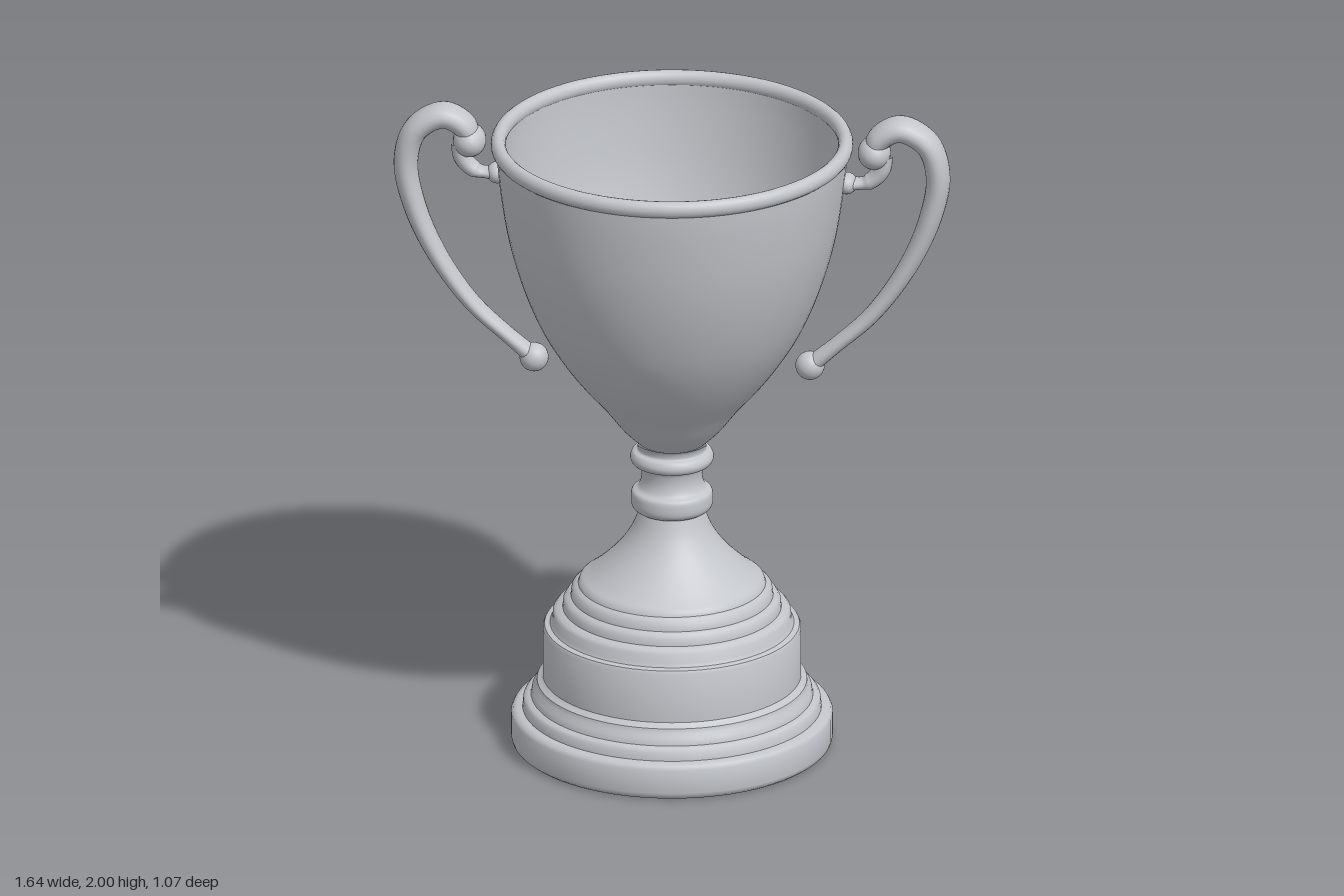
import * as THREE from 'three';
import { toCreasedNormals } from 'three/addons/utils/BufferGeometryUtils.js';

const metal = new THREE.MeshStandardMaterial({ color: 0xc2c5ca });
metal.name = 'silver grey';

const vecs = (pts) => pts.map(([x, y]) => new THREE.Vector2(x, y));
const smooth = (pts, n) => new THREE.SplineCurve(vecs(pts)).getPoints(n);

function addMesh(parent, name, geometry) {
  const mesh = new THREE.Mesh(geometry, metal);
  mesh.name = name;
  parent.add(mesh);
  return mesh;
}

function lathe(points, creased = false) {
  const g = new THREE.LatheGeometry(points, 80);
  return creased ? toCreasedNormals(g, 0.7) : g;
}

// Sweep an elliptical section along a path in the xy plane.
// Each station is [x, y, half thickness in plane, half width in z].
function sweep(stations, steps, sides = 20) {
  const path = new THREE.CatmullRomCurve3(stations.map(([x, y]) => new THREE.Vector3(x, y, 0)));
  const size = new THREE.CatmullRomCurve3(stations.map(([, , a, b]) => new THREE.Vector3(a, b, 0)));
  const pos = [], index = [];
  for (let i = 0; i <= steps; i++) {
    const t = i / steps;
    const p = path.getPoint(t), d = path.getTangent(t), s = size.getPoint(t);
    for (let j = 0; j < sides; j++) {
      const a = (j / sides) * Math.PI * 2;
      const u = Math.cos(a) * s.x;
      pos.push(p.x - d.y * u, p.y + d.x * u, Math.sin(a) * s.y);
      if (i === steps) continue;
      const k = i * sides + j, m = i * sides + (j + 1) % sides;
      index.push(k, m, k + sides, m, m + sides, k + sides);
    }
  }
  const g = new THREE.BufferGeometry();
  g.setAttribute('position', new THREE.Float32BufferAttribute(pos, 3));
  g.setIndex(index);
  g.computeVertexNormals();
  return g;
}

function ball(parent, name, x, y, r, rz = r) {
  const mesh = addMesh(parent, name, new THREE.SphereGeometry(r, 24, 16));
  mesh.position.set(x, y, 0);
  mesh.scale.z = rz / r;
}

function createHandle(name) {
  const handle = new THREE.Group();
  handle.name = name;
  // Long arm rising from the lower tip and curling over at the top
  addMesh(handle, 'handleArm', sweep([
    [0.41, 1.205, 0.026, 0.033], [0.49, 1.275, 0.022, 0.036],
    [0.59, 1.37, 0.024, 0.04], [0.69, 1.515, 0.028, 0.045],
    [0.76, 1.675, 0.033, 0.05], [0.785, 1.815, 0.036, 0.053],
    [0.755, 1.915, 0.037, 0.055], [0.675, 1.962, 0.038, 0.055],
    [0.612, 1.93, 0.036, 0.053], [0.595, 1.885, 0.03, 0.045],
  ], 72));
  ball(handle, 'handleTip', 0.407, 1.202, 0.043);
  ball(handle, 'handleCurl', 0.597, 1.885, 0.049, 0.064);
  // Small hook joining the curl to the bowl
  addMesh(handle, 'handleHook', sweep([
    [0.625, 1.88, 0.028, 0.036], [0.617, 1.83, 0.027, 0.035],
    [0.58, 1.792, 0.024, 0.033], [0.5, 1.783, 0.024, 0.033],
  ], 24));
  ball(handle, 'handleJoint', 0.515, 1.785, 0.032, 0.04);
  return handle;
}

export function createModel() {
  const cup = new THREE.Group();
  cup.name = 'trophyCup';

  // Round plinth with stepped mouldings
  addMesh(cup, 'plinth', lathe(vecs([
    [0, 0], [0.46, 0], [0.47, 0.008], [0.473, 0.02], [0.473, 0.092], [0.467, 0.103], [0.455, 0.108],
    [0.44, 0.11], [0.437, 0.135], [0.43, 0.144], [0.415, 0.148],
    [0.411, 0.168], [0.4, 0.18], [0.397, 0.195], [0.385, 0.203], [0.38, 0.208],
    [0.38, 0.36], [0.375, 0.37], [0.35, 0.376],
  ]), true));

  // Stepped shoulder above the plinth
  addMesh(cup, 'shoulder', lathe(vecs([
    [0.36, 0.372], [0.352, 0.385], [0.35, 0.41], [0.342, 0.42], [0.322, 0.426],
    [0.32, 0.445], [0.312, 0.457], [0.298, 0.463], [0.295, 0.485], [0.285, 0.495],
    [0.276, 0.5], [0.272, 0.512], [0.262, 0.52],
  ]), true));

  // Flared foot narrowing into the stem
  addMesh(cup, 'foot', lathe(smooth([
    [0.264, 0.518], [0.235, 0.54], [0.19, 0.582], [0.148, 0.63], [0.117, 0.68], [0.098, 0.73], [0.094, 0.75],
  ], 24)));

  // Stem with a collar and a ring
  addMesh(cup, 'stem', lathe(smooth([
    [0.09, 0.73], [0.108, 0.738], [0.119, 0.752], [0.121, 0.775], [0.117, 0.796], [0.1, 0.808],
    [0.091, 0.83], [0.09, 0.855], [0.096, 0.877], [0.116, 0.885], [0.123, 0.902], [0.116, 0.92],
    [0.102, 0.928], [0.104, 0.945], [0.112, 0.955],
  ], 72)));

  // Hollow bowl: outside going up, then inside going down
  const outside = [
    [0.1, 0.95], [0.15, 1.0], [0.208, 1.075], [0.265, 1.14], [0.328, 1.225], [0.382, 1.315],
    [0.424, 1.41], [0.458, 1.51], [0.483, 1.61], [0.5, 1.71], [0.512, 1.81], [0.517, 1.89],
  ];
  const inside = outside.slice(1).reverse().map(([r, y]) => [r - 0.022, y + 0.01]);
  addMesh(cup, 'bowlOutside', lathe(smooth([[0, 0.948], ...outside].slice(1), 48)));
  addMesh(cup, 'bowlInside', lathe(smooth([...inside, [0.07, 0.975], [0, 0.965]], 48)));

  // Rolled rim
  const rim = addMesh(cup, 'rim', new THREE.TorusGeometry(0.511, 0.022, 16, 80));
  rim.rotation.x = Math.PI / 2;
  rim.position.y = 1.892;
  rim.scale.z = 1.15;

  // Matching handles on both sides
  const right = createHandle('rightHandle');
  right.rotation.y = Math.PI;
  cup.add(createHandle('leftHandle'), right);
  return cup;
}
